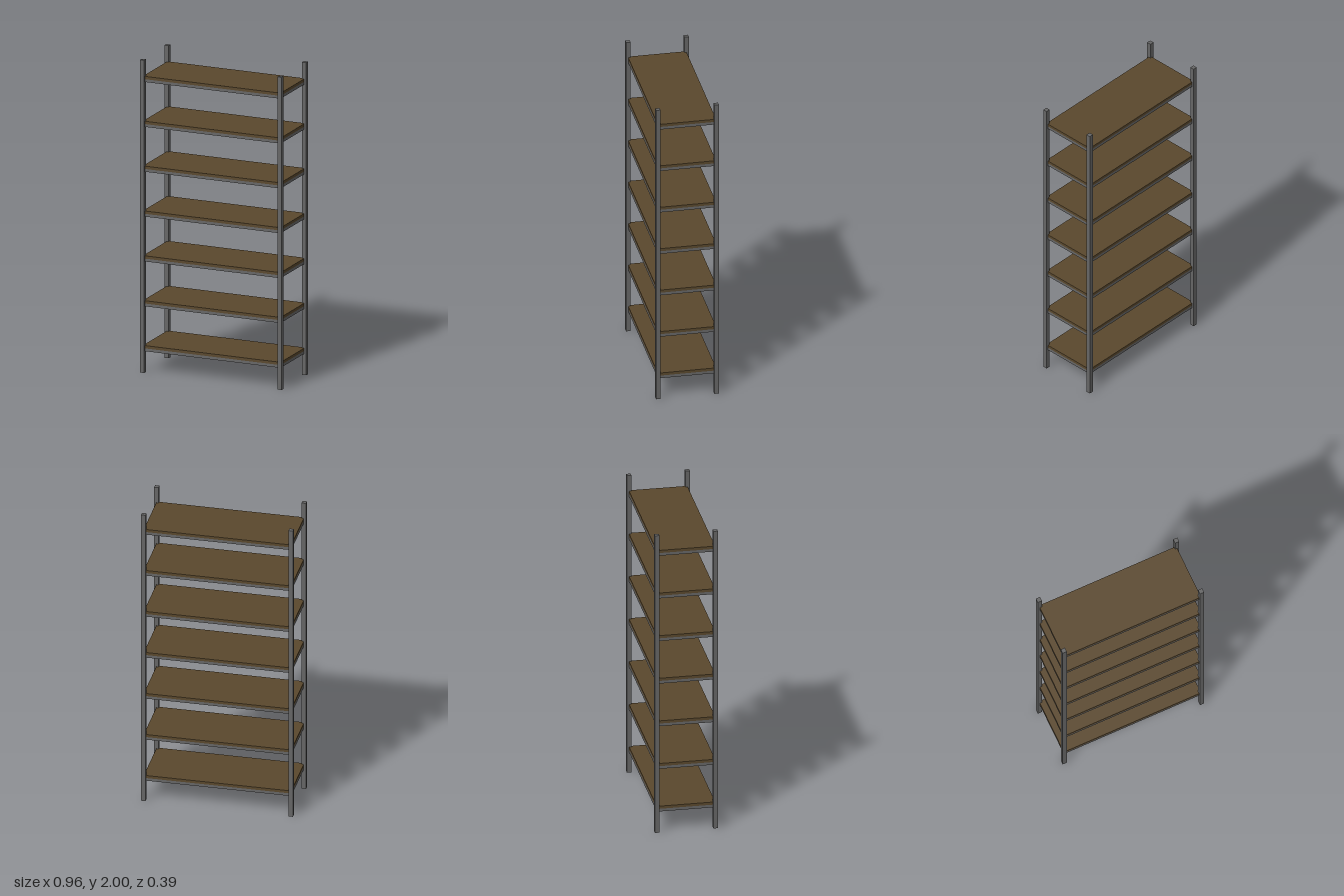
import * as THREE from 'three';

export function createModel() {
  const metal = new THREE.MeshStandardMaterial({ color: 0x666666 });
  metal.name = 'grey metal';
  const wood = new THREE.MeshStandardMaterial({ color: 0x5a482d });
  wood.name = 'brown wood';

  const model = new THREE.Group();
  model.name = 'shelvingRack';

  const X = 0.465, Z = 0.183; // post centres, also the shelf edges
  const POST = 0.028, RAIL = 0.06, THICK = 0.018;

  const addBox = (parent, name, material, size, position) => {
    const mesh = new THREE.Mesh(new THREE.BoxGeometry(...size), material);
    mesh.name = name;
    mesh.position.set(...position);
    parent.add(mesh);
  };

  // Four full-height corner posts
  for (const [sx, side] of [[1, 'Left'], [-1, 'Right']]) {
    for (const [sz, end] of [[1, 'front'], [-1, 'back']]) {
      addBox(model, `${end}${side}Post`, metal, [POST, 2, POST], [sx * X, 1, sz * Z]);
    }
  }

  // Seven shelves: a wooden board resting on a flat metal frame
  for (let i = 0; i < 7; i++) {
    const shelf = new THREE.Group();
    shelf.name = `shelf${i + 1}`;
    shelf.position.y = 0.154 + i * 0.287; // joint between board and frame
    addBox(shelf, 'board', wood, [2 * X, THICK, 2 * Z], [0, THICK / 2, 0]);
    for (const s of [1, -1]) {
      addBox(shelf, s > 0 ? 'frontRail' : 'backRail', metal,
        [2 * X, THICK, RAIL], [0, -THICK / 2, s * (Z - RAIL / 2)]);
      addBox(shelf, s > 0 ? 'leftRail' : 'rightRail', metal,
        [RAIL, THICK, 2 * (Z - RAIL)], [s * (X - RAIL / 2), -THICK / 2, 0]);
    }
    model.add(shelf);
  }

  return model;
}
